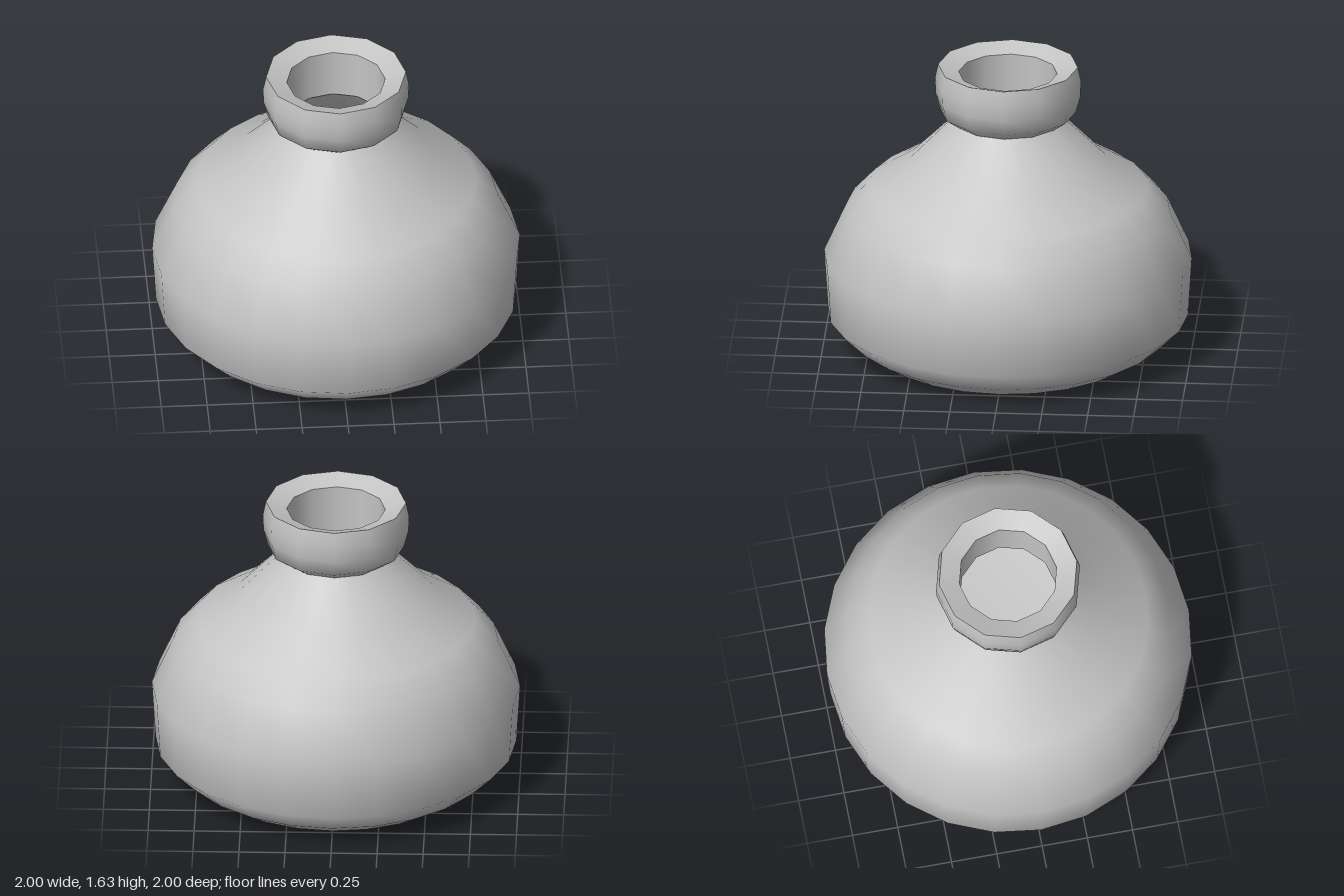
import * as THREE from 'three';

const glass = new THREE.MeshStandardMaterial({ color: 0xc4c4c4 });
glass.name = 'grey';

// Surface of revolution; the profile runs bottom to top outside, top to bottom inside
function lathe(name, profile, sides) {
  const points = profile.map(([r, y]) => new THREE.Vector2(r, y));
  const mesh = new THREE.Mesh(new THREE.LatheGeometry(points, sides), glass);
  mesh.name = name;
  return mesh;
}

export function createModel() {
  const flask = new THREE.Group();
  flask.name = 'flask';

  // Flat base
  flask.add(lathe('base', [[0, 0], [0.73, 0]], 24));

  // Round belly rising to the shoulder
  const bodyProfile = [
    [0.73, 0], [0.86, 0.08], [0.98, 0.2], [1, 0.53],
    [0.88, 0.8], [0.76, 0.93], [0.54, 1.07], [0.3, 1.32],
  ];
  const body = lathe('body', bodyProfile, 24);
  // Pull every second vertex of the top ring onto the twelve-sided neck
  const pos = body.geometry.attributes.position;
  const rows = bodyProfile.length;
  for (let i = 1; i < 24; i += 2) {
    const v = i * rows + rows - 1;
    const k = Math.cos(Math.PI / 12);
    pos.setX(v, pos.getX(v) * k);
    pos.setZ(v, pos.getZ(v) * k);
  }
  flask.add(body);

  // Bulging twelve-sided lip and its sloping rim
  flask.add(lathe('lip', [[0.3, 1.32], [0.37, 1.37], [0.394, 1.46], [0.397, 1.55], [0.38, 1.63]], 12));
  flask.add(lathe('rim', [[0.38, 1.63], [0.268, 1.59]], 12));

  // Hollow inside
  flask.add(lathe('innerNeck', [[0.268, 1.59], [0.265, 1.32]], 12));
  flask.add(lathe('innerWall', [
    [0.265, 1.32], [0.48, 1.03], [0.7, 0.87], [0.81, 0.76],
    [0.92, 0.52], [0.9, 0.24], [0.68, 0.1], [0, 0.08],
  ], 24));

  return flask;
}
